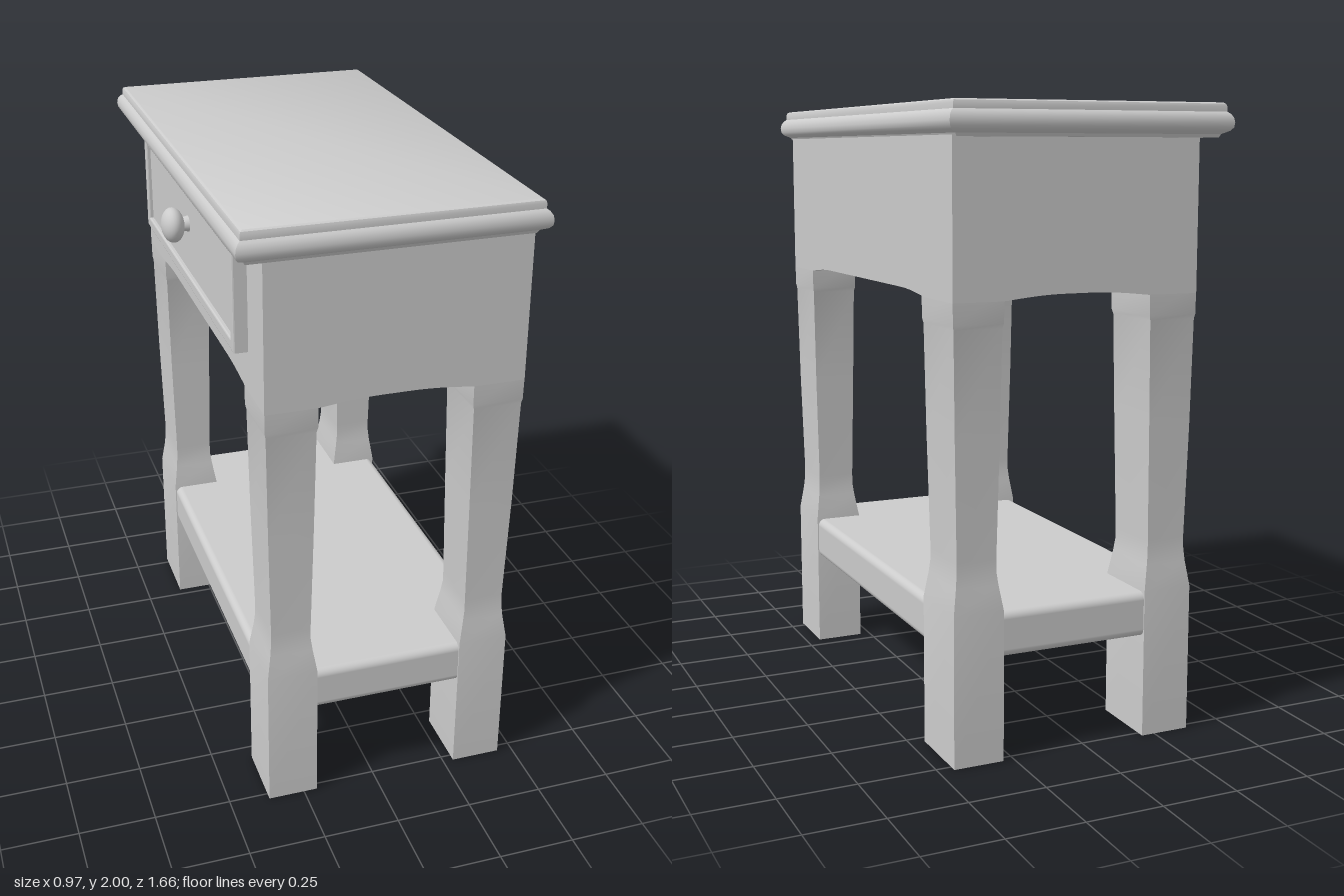
import * as THREE from 'three';
import { toCreasedNormals } from 'three/addons/utils/BufferGeometryUtils.js';
import { RoundedBoxGeometry } from 'three/addons/geometries/RoundedBoxGeometry.js';

const grey = new THREE.MeshStandardMaterial({ color: 0xcccccc });

function add(group, name, geometry, x = 0, y = 0, z = 0) {
  const mesh = new THREE.Mesh(geometry, grey);
  mesh.name = name;
  mesh.position.set(x, y, z);
  group.add(mesh);
  return mesh;
}

// Capped solid through rectangles stacked upwards: [y, x0, x1, z0, z1]
function loftRects(sections) {
  const rings = sections.map(([y, x0, x1, z0, z1]) =>
    [[x0, y, z0], [x0, y, z1], [x1, y, z1], [x1, y, z0]]);
  const pos = [];
  const quad = (a, b, c, d) => pos.push(...a, ...b, ...c, ...a, ...c, ...d);
  for (let i = 0; i < rings.length - 1; i++) {
    for (let k = 0; k < 4; k++) {
      const n = (k + 1) % 4;
      quad(rings[i][k], rings[i][n], rings[i + 1][n], rings[i + 1][k]);
    }
  }
  quad(...rings[0].slice().reverse());
  quad(...rings[rings.length - 1]);
  const g = new THREE.BufferGeometry();
  g.setAttribute('position', new THREE.Float32BufferAttribute(pos, 3));
  return toCreasedNormals(g, 0.6);
}

// Cabinet box whose lower edge rises in a shallow arch between the legs
function cabinetGeometry() {
  const w = 0.82, h = 0.48, d = 1.55;
  const g = new THREE.BoxGeometry(w, h, d, 24, 1, 36);
  const p = g.attributes.position;
  for (let i = 0; i < p.count; i++) {
    if (p.getY(i) > 0) continue;
    const dx = w / 2 - Math.abs(p.getX(i)) - 0.165;
    const dz = d / 2 - Math.abs(p.getZ(i)) - 0.22;
    const t = THREE.MathUtils.clamp(Math.max(dx, dz) / 0.2, 0, 1);
    p.setY(i, -h / 2 + 0.015 * Math.sin(t * Math.PI / 2));
  }
  return toCreasedNormals(g, 0.5);
}

function rectPath(path, x, y) {
  path.moveTo(-x, -y);
  path.lineTo(x, -y);
  path.lineTo(x, y);
  path.lineTo(-x, y);
  path.closePath();
  return path;
}

export function createModel() {
  const model = new THREE.Group();
  model.name = 'sideTable';

  // Moulded top: [y, overhang inset]
  const profile = [
    [1.895, 0.035], [1.905, 0.03], [1.915, 0.01], [1.925, 0.002], [1.94, 0],
    [1.955, 0.003], [1.966, 0.01], [1.972, 0.018], [1.988, 0.018], [1.996, 0.021], [2, 0.028],
  ];
  add(model, 'tableTop', loftRects(profile.map(([y, s]) =>
    [y, -0.46 + s, 0.48 - s, -0.83 + s, 0.83 - s])));

  add(model, 'cabinet', cabinetGeometry(), 0.04, 1.66, 0);

  // Legs: [y, outer inset, inner inset]
  const legProfile = [
    [0, 0, 0], [0.48, 0, 0], [0.56, 0.012, 0.013], [0.6, 0.016, 0.018], [0.64, 0.017, 0.018],
    [1.0, 0.009, 0.011], [1.34, 0.004, 0.005], [1.355, 0.001, 0.001], [1.45, 0, 0],
  ];
  for (const sx of [-1, 1]) {
    for (const sz of [-1, 1]) {
      const depth = sz > 0 ? 0.22 : 0.243;
      const sections = legProfile.map(([y, o, i]) => {
        const xs = [0.04 + sx * (0.41 - o), 0.04 + sx * (0.245 + i)].sort((a, b) => a - b);
        const zs = [sz * (0.775 - o), sz * (0.775 - depth + i)].sort((a, b) => a - b);
        return [y, ...xs, ...zs];
      });
      add(model, (sz > 0 ? 'front' : 'back') + (sx > 0 ? 'Left' : 'Right') + 'Leg', loftRects(sections));
    }
  }

  // Lower shelf, flush with the legs
  add(model, 'shelf', new RoundedBoxGeometry(0.812, 0.145, 1.542, 4, 0.025), 0.04, 0.4025, 0);

  // Drawer front with raised border, on the -x side
  const drawer = new THREE.Group();
  drawer.name = 'drawer';
  drawer.position.set(-0.37, 1.72, 0.01);
  const border = rectPath(new THREE.Shape(), 0.6, 0.17);
  border.holes.push(rectPath(new THREE.Path(), 0.565, 0.135));
  const frame = new THREE.ExtrudeGeometry(border, {
    depth: 0.04, bevelSize: 0.005, bevelThickness: 0.005, bevelOffset: -0.005, bevelSegments: 2,
  });
  frame.rotateY(-Math.PI / 2);
  add(drawer, 'drawerBorder', frame);
  add(drawer, 'drawerPanel', new THREE.BoxGeometry(0.04, 0.29, 1.15), -0.011, 0, 0);

  // Turned knob
  const points = [new THREE.Vector2(0.026, 0), new THREE.Vector2(0.022, 0.02)];
  for (let i = 0; i <= 12; i++) {
    const a = -1.2 + (i / 12) * (1.2 + Math.PI / 2);
    points.push(new THREE.Vector2(Math.max(0, 0.057 * Math.cos(a)), 0.052 + 0.037 * Math.sin(a)));
  }
  const knob = new THREE.LatheGeometry(points, 32);
  knob.rotateZ(Math.PI / 2);
  add(drawer, 'knob', knob, -0.03, 0.03, 0);
  model.add(drawer);

  return model;
}
